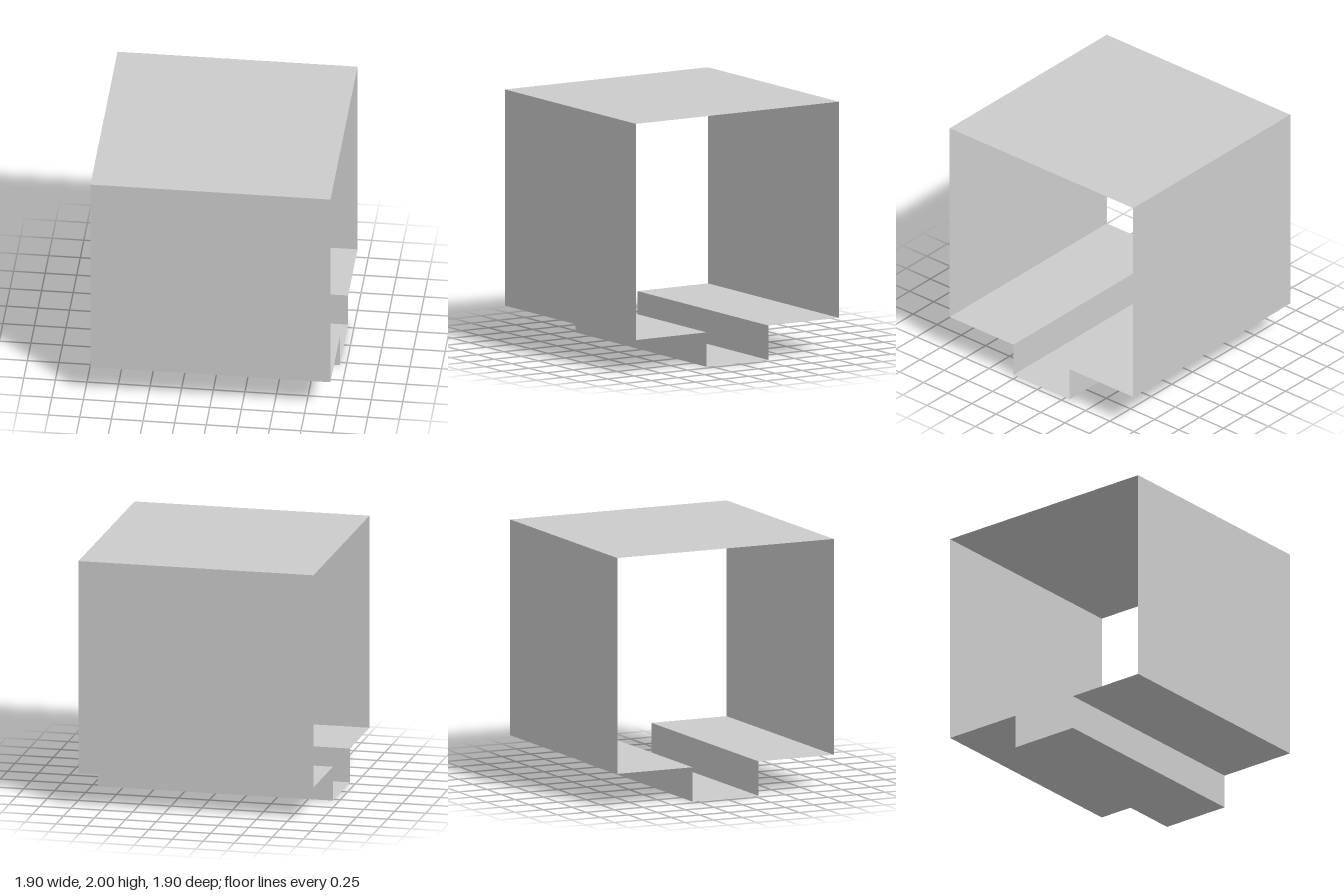
import * as THREE from 'three';

const HALF = 0.95;      // half width and half depth
const TOP = 2;
const LEDGE = 0.275;    // height of the shelves either side of the channel
const CHANNEL = 0.29;   // half width of the channel

export function createModel() {
  const group = new THREE.Group();
  group.name = 'openSleeve';
  const material = new THREE.MeshStandardMaterial({ color: 0xcccccc, side: THREE.DoubleSide });

  // Closed cross-section as [z, y], seen along x
  const section = [
    ['frontWall', HALF, LEDGE],
    ['topPanel', HALF, TOP],
    ['backWall', -HALF, TOP],
    ['backShelf', -HALF, LEDGE],
    ['channelBackSide', -CHANNEL, LEDGE],
    ['channelFloor', -CHANNEL, 0],
    ['channelFrontSide', CHANNEL, 0],
    ['frontShelf', CHANNEL, LEDGE],
  ];

  // One thin flat panel from each point to the next, spanning the full width
  section.forEach(([name, z0, y0], i) => {
    const [, z1, y1] = section[(i + 1) % section.length];
    const geometry = new THREE.PlaneGeometry(2 * HALF, Math.hypot(z1 - z0, y1 - y0));
    geometry.rotateX(Math.atan2(z1 - z0, y1 - y0));
    geometry.translate(0, (y0 + y1) / 2, (z0 + z1) / 2);
    const panel = new THREE.Mesh(geometry, material);
    panel.name = name;
    group.add(panel);
  });

  return group;
}
